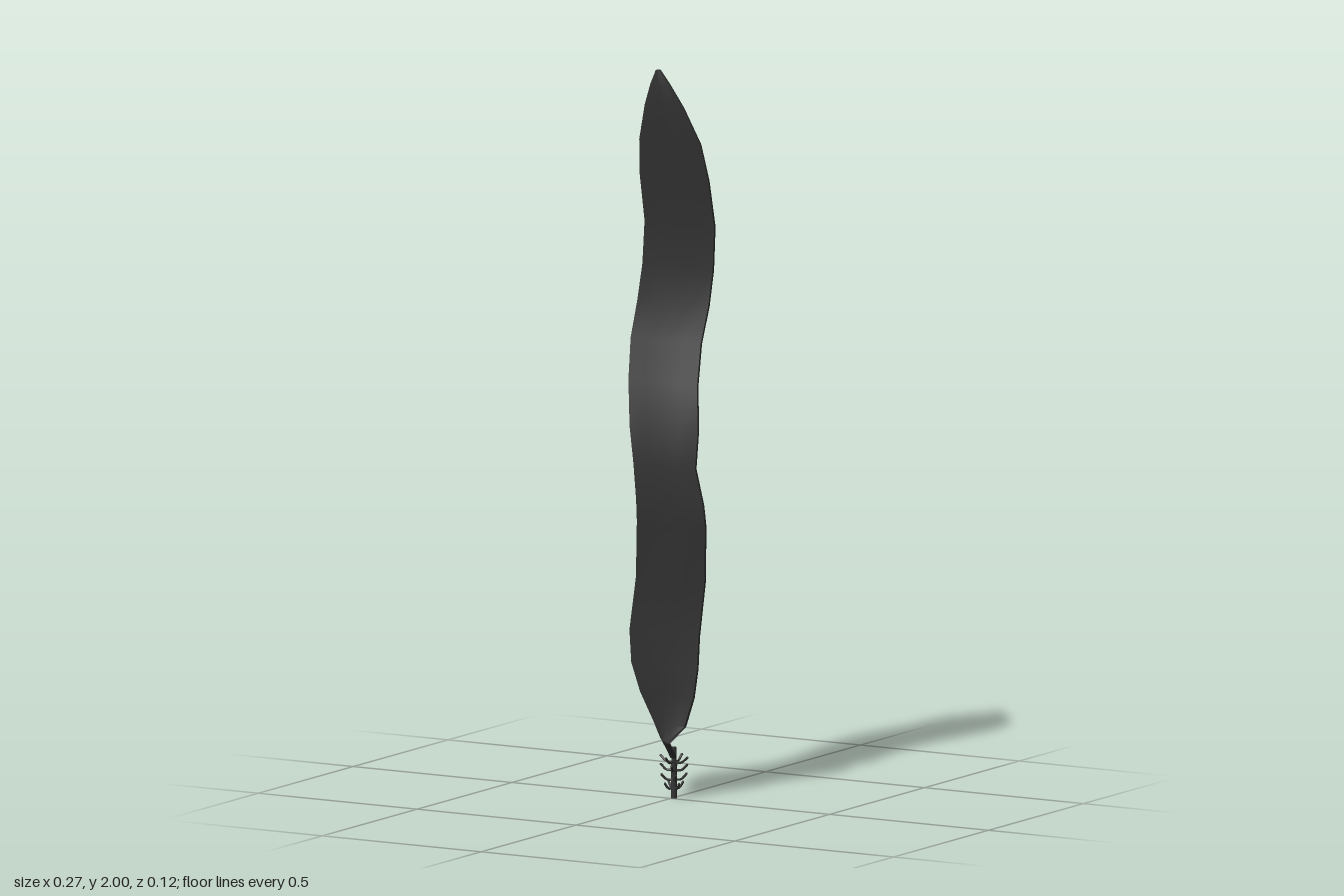
import * as THREE from 'three';
import { toCreasedNormals } from 'three/addons/utils/BufferGeometryUtils.js';

// Blade cross-sections: height, x of both edges, z of both edges
const ROWS = [
  [0.11, -0.005, 0.012, -0.012, -0.006], [0.135, -0.02, 0.016, -0.014, 0.02],
  [0.16, -0.045, 0.025, -0.026, 0.052], [0.2, -0.077, 0.046, -0.043, 0.002],
  [0.28, -0.112, 0.07, -0.03, -0.004], [0.36, -0.134, 0.08, -0.02, -0.008],
  [0.45, -0.135, 0.085, -0.012, -0.008], [0.6, -0.105, 0.11, 0.004, 0.004],
  [0.76, -0.083, 0.134, 0.036, 0.04], [0.82, -0.08, 0.13, 0.045, 0.045],
  [0.92, -0.085, 0.109, 0.051, 0.051], [1.02, -0.1, 0.114, 0.046, 0.046],
  [1.14, -0.124, 0.092, 0.012, 0.012], [1.25, -0.136, 0.084, -0.02, -0.02],
  [1.35, -0.131, 0.092, -0.047, -0.047], [1.45, -0.117, 0.104, -0.05, -0.05],
  [1.57, -0.106, 0.113, -0.043, -0.043], [1.7, -0.105, 0.11, -0.016, -0.016],
  [1.8, -0.097, 0.094, 0, 0], [1.9, -0.068, 0.052, 0.02, 0.02],
  [1.96, -0.046, 0.014, 0.027, 0.027], [2.0, -0.027, -0.016, 0.03, 0.03],
];

// Thin closed strip, thickest along the midrib
function bladeGeometry() {
  const across = [0, 0.25, 0.5, 0.75, 1];
  const n = across.length * 2;
  const pos = [], index = [];
  for (const [y, xl, xr, zl, zr] of ROWS) {
    const dx = xr - xl, dz = zr - zl, len = Math.hypot(dx, dz);
    for (let i = 0; i < n; i++) {
      const front = i < across.length;
      const u = across[front ? i : n - 1 - i];
      const half = (0.004 + 0.004 * (1 - Math.abs(2 * u - 1))) * (front ? 1 : -1);
      pos.push(xl + dx * u - (dz / len) * half, y, zl + dz * u + (dx / len) * half);
    }
  }
  for (let r = 0; r < ROWS.length - 1; r++) {
    for (let i = 0; i < n; i++) {
      const a = r * n + i, b = r * n + (i + 1) % n;
      index.push(a, b, b + n, a, b + n, a + n);
    }
  }
  // End caps
  const top = (ROWS.length - 1) * n;
  for (let i = 1; i < n - 1; i++) {
    index.push(0, i + 1, i, top, top + i, top + i + 1);
  }
  const g = new THREE.BufferGeometry();
  g.setAttribute('position', new THREE.Float32BufferAttribute(pos, 3));
  g.setIndex(index);
  return toCreasedNormals(g, 0.9);
}

export function createModel() {
  const group = new THREE.Group();
  const mat = new THREE.MeshStandardMaterial({ color: 0x333333 });
  const add = (name, geometry, parent = group) => {
    const mesh = new THREE.Mesh(geometry, mat);
    mesh.name = name;
    parent.add(mesh);
    return mesh;
  };

  add('blade', bladeGeometry());

  // Stalk
  const stalk = add('stalk', new THREE.CylinderGeometry(0.007, 0.009, 0.14, 8));
  stalk.position.set(0.004, 0.07, -0.01);

  // Holdfast: whorls of short rootlets curling upward
  const holdfast = new THREE.Group();
  holdfast.name = 'holdfast';
  holdfast.position.set(0.004, 0, -0.01);
  group.add(holdfast);
  [[0.1, 0.042], [0.078, 0.036], [0.052, 0.034], [0.028, 0.028]].forEach(([y, reach], w) => {
    const curve = new THREE.CatmullRomCurve3([
      new THREE.Vector3(0, y, 0),
      new THREE.Vector3(reach * 0.55, y - 0.001, 0),
      new THREE.Vector3(reach, y + 0.014, 0),
    ]);
    for (let k = 0; k < 4; k++) {
      const root = add('rootlet', new THREE.TubeGeometry(curve, 5, 0.0035, 5), holdfast);
      root.rotation.y = k * Math.PI / 2 + w * 0.35;
      const tip = add('rootletTip', new THREE.SphereGeometry(0.0036, 6, 4), root);
      tip.position.set(reach, y + 0.014, 0);
    }
  });
  return group;
}
